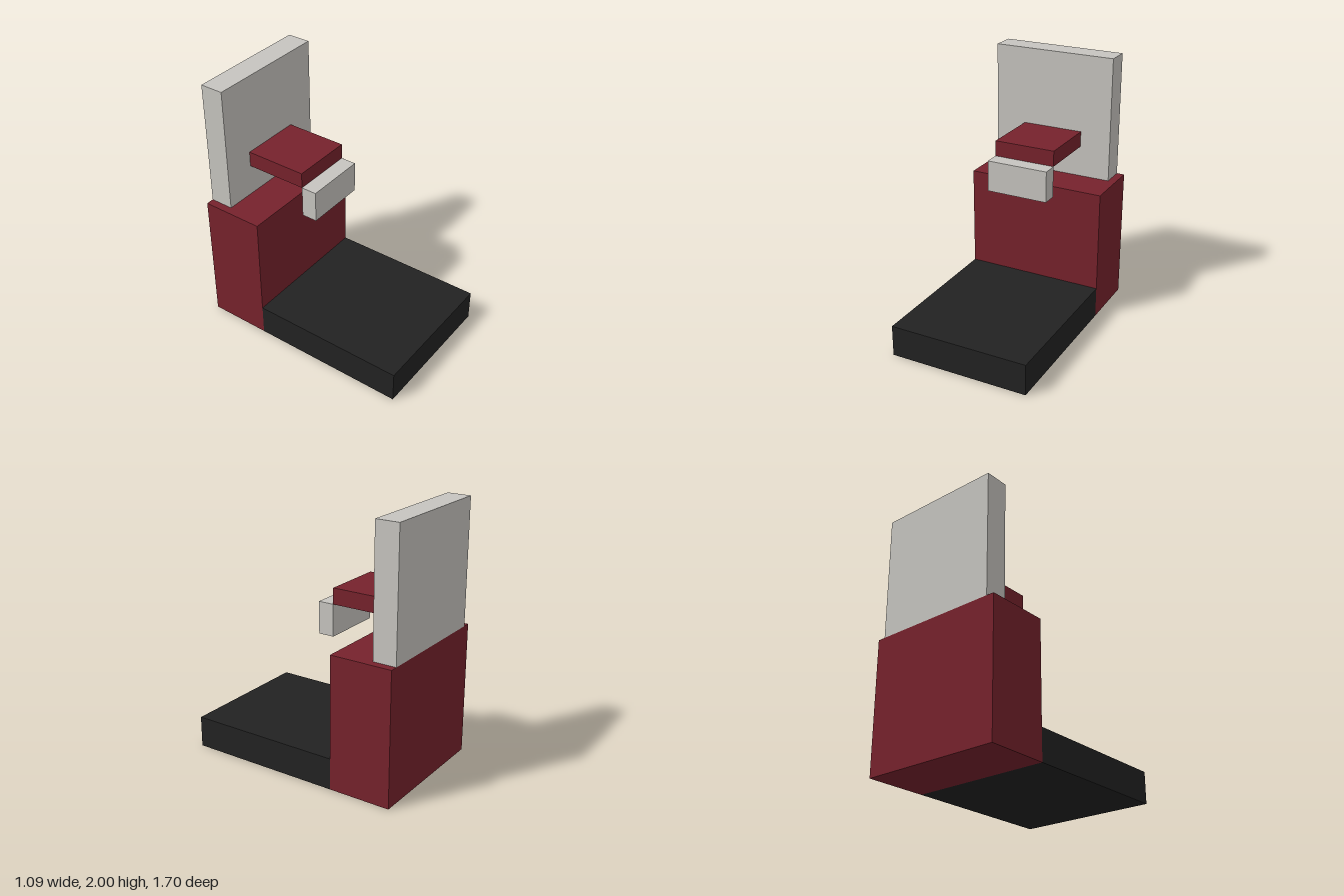
import * as THREE from 'three';

const U = 2 / 16.5; // one building unit

const flat = (name, color) => {
  const m = new THREE.MeshStandardMaterial({ color });
  m.name = name;
  return m;
};

export function createModel() {
  const black = flat('black', 0x222222);
  const red = flat('darkRed', 0x76222c);
  const grey = flat('lightGrey', 0xc6c4bf);
  const group = new THREE.Group();

  // Box centred on x, given by its width and its y and z ranges in units
  const block = (name, material, width, [y0, y1], [z0, z1]) => {
    const geometry = new THREE.BoxGeometry(width * U, (y1 - y0) * U, (z1 - z0) * U);
    const mesh = new THREE.Mesh(geometry, material);
    mesh.name = name;
    mesh.position.set(0, (y0 + y1) / 2 * U, (z0 + z1) / 2 * U);
    group.add(mesh);
  };

  // Base plate and the column behind it
  block('basePlate', black, 9, [0, 2], [-3, 7]);
  block('column', red, 9, [0, 8.5], [-7, -3]);
  // Upright panel with a projecting arm and hanging front block
  block('backPanel', grey, 8, [8.5, 16.5], [-7, -5.5]);
  block('arm', red, 4, [10.5, 11.5], [-5.5, -1.5]);
  block('frontBlock', grey, 4, [8.5, 10.5], [-1.5, -0.5]);

  return group;
}
